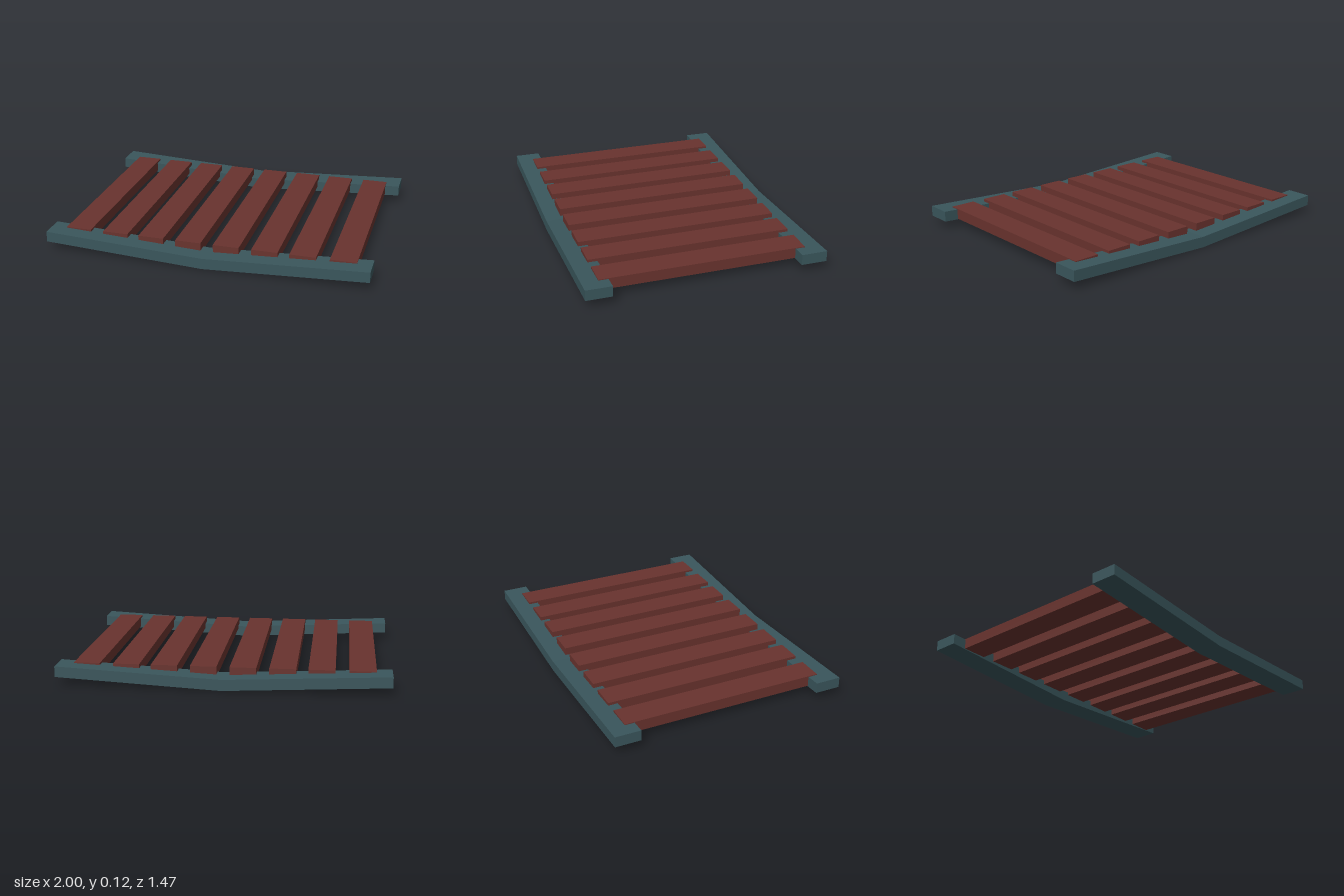
import * as THREE from 'three';

export function createModel() {
  const model = new THREE.Group();
  const railMat = new THREE.MeshStandardMaterial({ color: 0x3a565c, flatShading: true });
  const slatMat = new THREE.MeshStandardMaterial({ color: 0x69332e, flatShading: true });

  // Side rails: a shallow V profile, dipping at the middle
  const profile = new THREE.Shape([
    [-1, 0.052], [0, 0], [1, 0.052], [1, 0.118], [0, 0.068], [-1, 0.118],
  ].map(([x, y]) => new THREE.Vector2(x, y)));
  const railWidth = 0.16;
  const railGeo = new THREE.ExtrudeGeometry(profile, { depth: railWidth, bevelEnabled: false });
  railGeo.translate(0, 0, -railWidth / 2);
  for (const side of [1, -1]) {
    const rail = new THREE.Mesh(railGeo, railMat);
    rail.name = side > 0 ? 'frontRail' : 'backRail';
    rail.position.z = side * 0.655;
    model.add(rail);
  }

  // Level slats spanning the two rails
  const slats = new THREE.Group();
  slats.name = 'slats';
  const slatGeo = new THREE.BoxGeometry(0.16, 0.067, 1.27);
  for (const side of [-1, 1]) {
    for (const x of [0.119, 0.356, 0.587, 0.828]) {
      const slat = new THREE.Mesh(slatGeo, slatMat);
      slat.name = 'slat';
      slat.position.set(side * x, 0.0845, 0);
      slats.add(slat);
    }
  }
  model.add(slats);
  return model;
}
